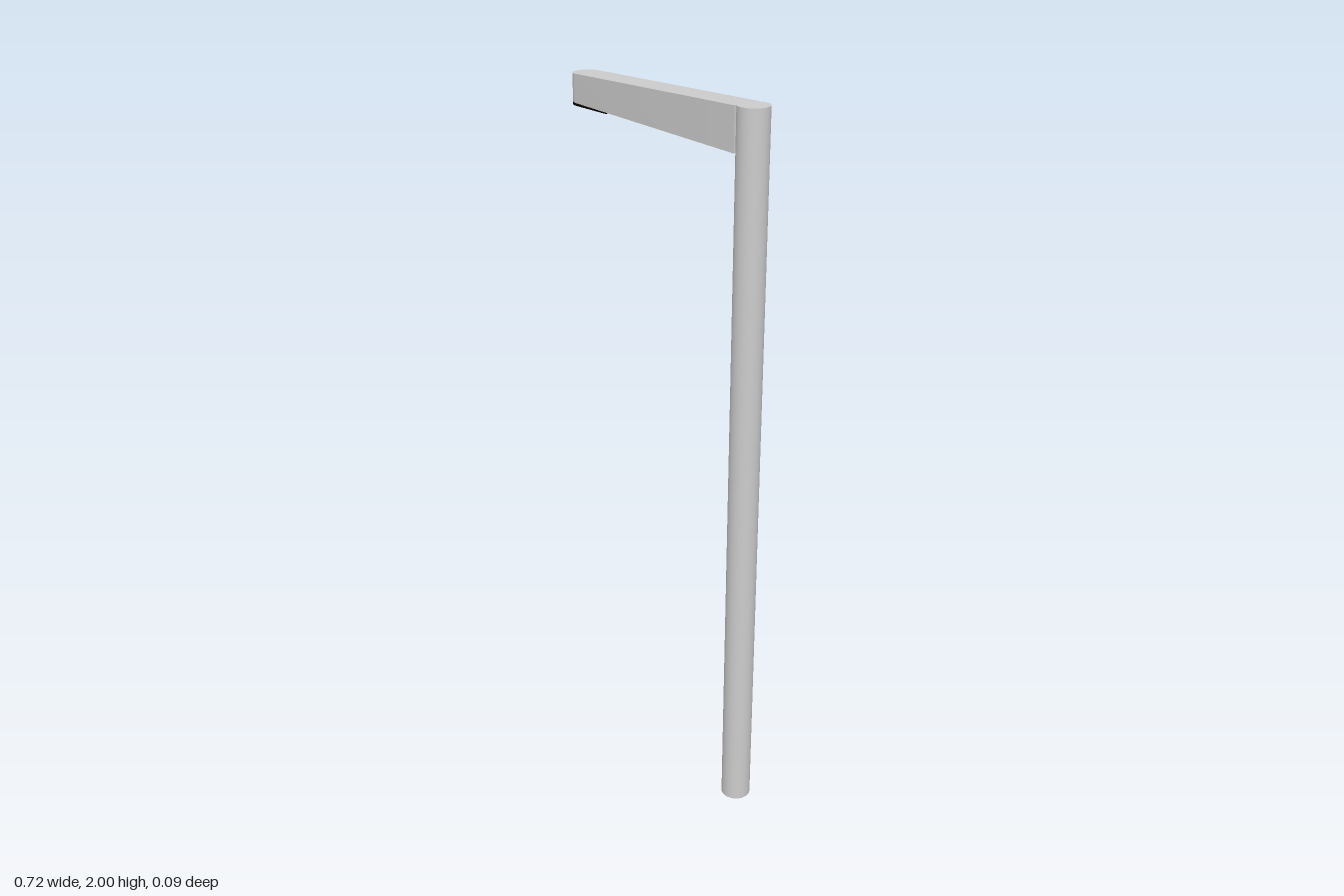
import * as THREE from 'three';
import { toCreasedNormals } from 'three/addons/utils/BufferGeometryUtils.js';

const HALF_WIDTH = 0.038;
const TIP = -0.644; // centre of the rounded arm end, measured from the pole axis
const START = -0.025; // arm root, hidden inside the pole

// Bar running along x with a rounded tip; lower and upper heights follow functions of x
function taperedBar(startX, lower, upper) {
  const plan = new THREE.Shape();
  plan.moveTo(startX, -HALF_WIDTH);
  plan.lineTo(startX, HALF_WIDTH);
  plan.lineTo(TIP, HALF_WIDTH);
  plan.absarc(TIP, 0, HALF_WIDTH, Math.PI / 2, Math.PI * 1.5, false);
  plan.closePath();
  const geo = new THREE.ExtrudeGeometry(plan, { depth: 1, bevelEnabled: false, curveSegments: 24 });
  geo.rotateX(-Math.PI / 2);
  const p = geo.attributes.position;
  for (let i = 0; i < p.count; i++) {
    const x = p.getX(i);
    p.setY(i, p.getY(i) > 0.5 ? upper(x) : lower(x));
  }
  return toCreasedNormals(geo, 0.6);
}

export function createModel() {
  const model = new THREE.Group();
  model.name = 'streetLamp';
  const grey = new THREE.MeshStandardMaterial({ color: 0xcccccc });
  const black = new THREE.MeshStandardMaterial({ color: 0x050505 });

  const add = (name, geometry, material, parent) => {
    const mesh = new THREE.Mesh(geometry, material);
    mesh.name = name;
    parent.add(mesh);
    return mesh;
  };

  // Upright pole
  const pole = add('pole', new THREE.CylinderGeometry(0.041, 0.041, 2, 48), grey, model);
  pole.position.set(0.321, 1, -0.007);

  // Arm assembly, turned slightly about the pole
  const head = new THREE.Group();
  head.name = 'lampHead';
  head.position.set(0.321, 0, -0.007);
  head.rotation.y = 0.0215;
  model.add(head);

  // Arm narrowing towards its tip
  const along = (x) => (START - x) / (START - TIP + HALF_WIDTH);
  const top = (x) => 1.9998 - 0.02 * along(x);
  const bottom = (x) => 1.887 + 0.018 * along(x);
  add('arm', taperedBar(START, bottom, top), grey, head);

  // Thin light panel under the tip
  add('lightPanel', taperedBar(-0.516, () => 1.897, bottom), black, head);

  return model;
}
